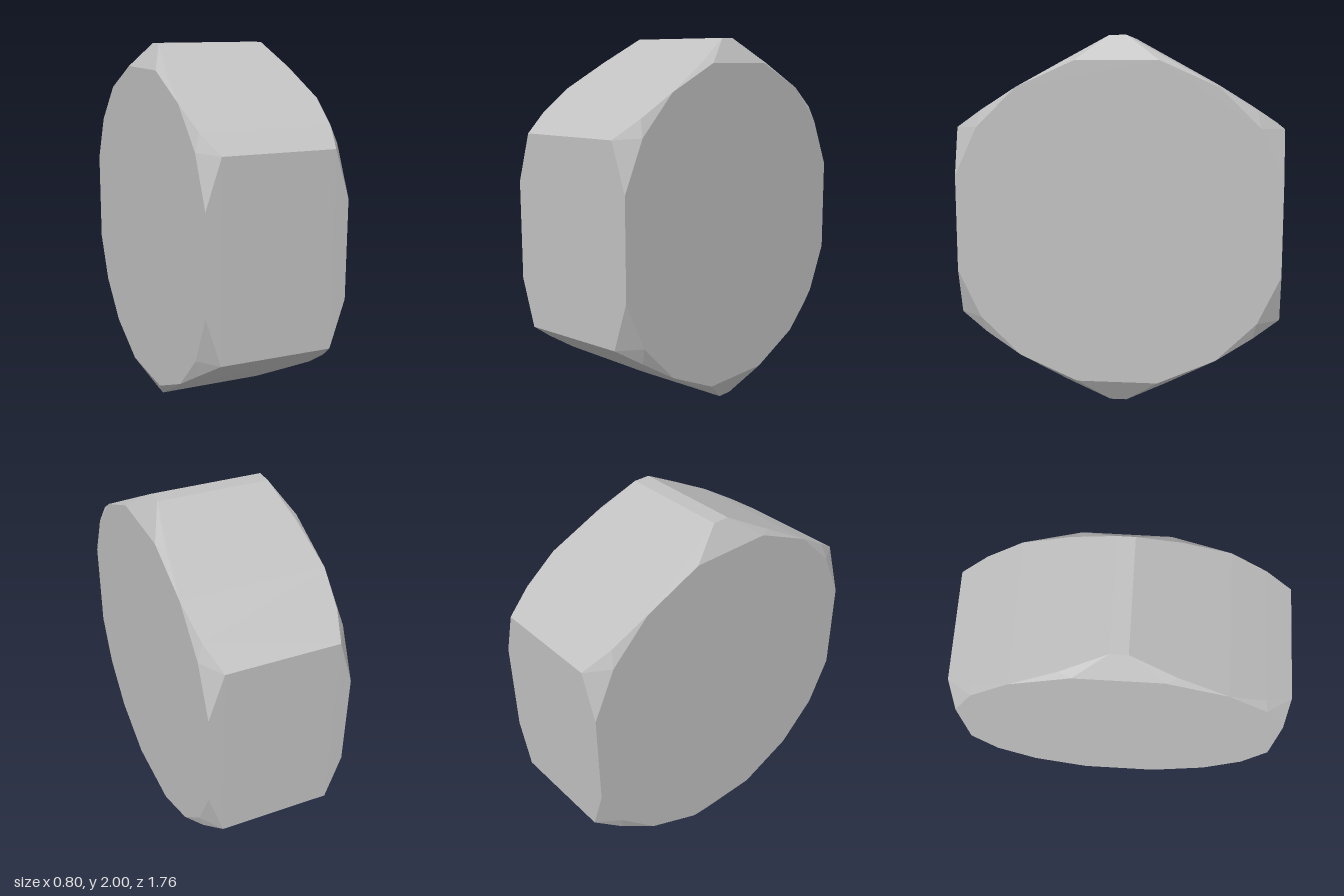
import * as THREE from 'three';
import { ConvexGeometry } from 'three/addons/geometries/ConvexGeometry.js';

export function createModel() {
  const group = new THREE.Group();
  group.name = 'hexHead';
  const steel = new THREE.MeshStandardMaterial({ color: 0xc0c0c0 });
  steel.name = 'grey steel';

  // One quarter of the section as [x, y, z]: end-face rim, chamfer curve, corners
  const quarter = [
    [0.385, 0.87, 0.22], [0.385, 0.73, 0.535], [0.385, 0.52, 0.75], [0.385, 0.26, 0.873],
    [0.355, 0.87, 0.28], [0.355, 0.61, 0.73], [0.345, 0.38, 0.873],
    [0.303, 1.0, 0.045], [0.303, 0.515, 0.875],
  ];

  // Mirror the quarter across all three axes and wrap it in a faceted hull
  const points = [];
  for (const [x, y, z] of quarter)
    for (const sx of [1, -1])
      for (const sy of [1, -1])
        for (const sz of [1, -1])
          points.push(new THREE.Vector3(sx * x, sy * y, sz * z));

  const head = new THREE.Mesh(new ConvexGeometry(points), steel);
  head.name = 'chamferedHexHead';
  head.position.y = 1;
  head.rotation.y = -0.018; // the head sits very slightly turned
  group.add(head);
  return group;
}
